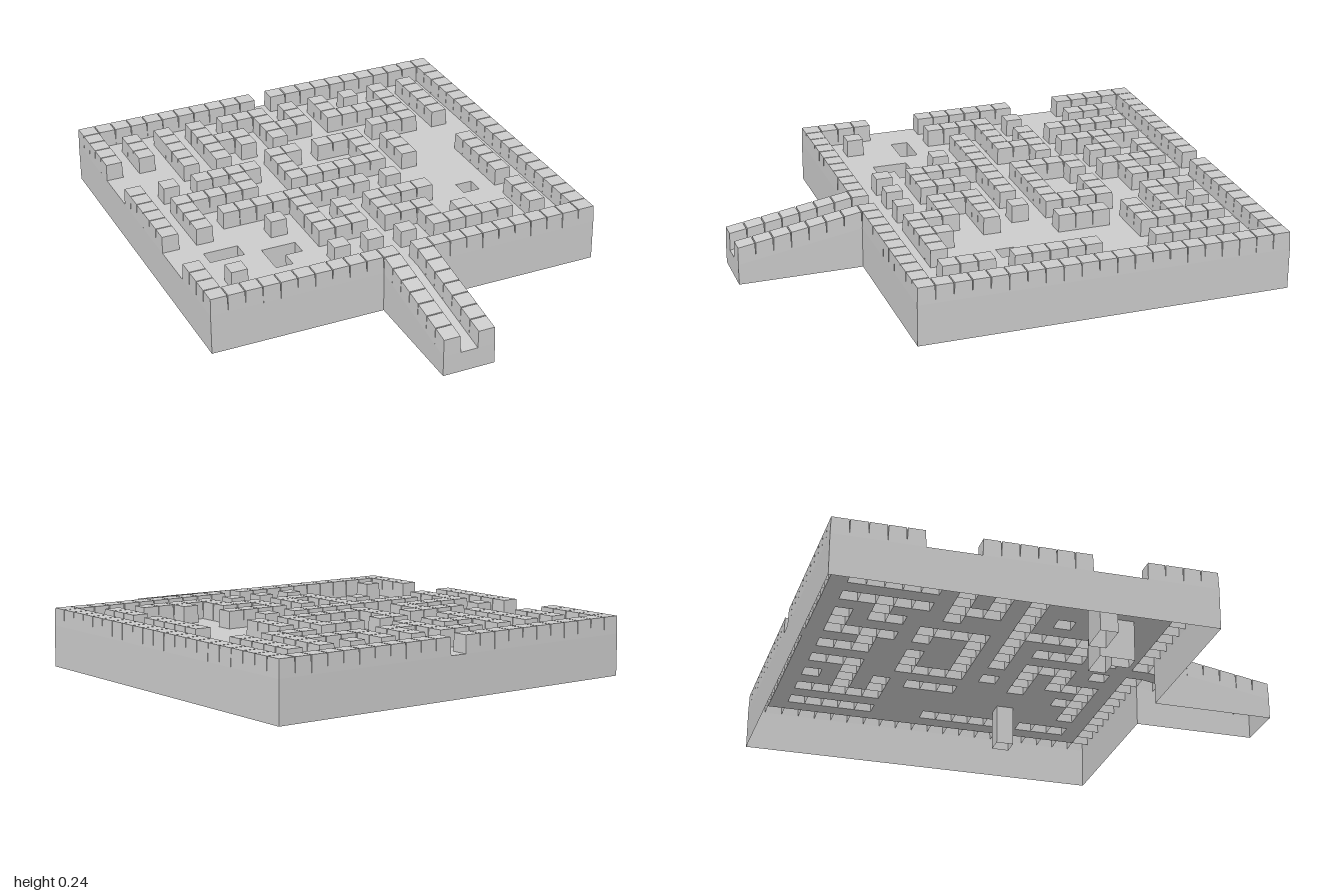
import * as THREE from 'three';

const CELL = 1 / 14, FLOOR = 0.167, WALL = 0.07, GROOVE = 0.0022;
const COLS = 23, MAZE_ROWS = 21, RAMP_ROWS = 7;

// '#' wall block, '.' floor, 'o' open shaft, ' ' outside
const MAZE = [
  '###########.###########',
  '#.....................#',
  '#.#.#.#.###.#.#.#.#.#.#',
  '#.#.#.#...#.#.#...#.#.#',
  '#.#.#.###.###.#####.#.#',
  '....#.#.#.#.......#.#.#',
  '....#.#.........###.#.#',
  '.........##.###.......#',
  '#.#.####.#....#.#.....#',
  '#.....#..#....#.#.....#',
  '#.#####..######.#...#.#',
  '#.#.................#.#',
  '#.#.#########.#.....#.#',
  '#.#.....#...........#.#',
  '......#.#.#.####..o.#.#',
  '..oo....#.#.#.........#',
  '.....oo.###.###.....#.#',
  '#....o........#.#...#.#',
  '#.#.....#.#.#.#####.#.#',
  '#.....................#',
  '###########.###########',
];
for (let i = 0; i < RAMP_ROWS; i++) MAZE.push(' '.repeat(10) + '#.#' + ' '.repeat(10));
MAZE.length = MAZE_ROWS + RAMP_ROWS;

const cellAt = (c, r) => (MAZE[r] && MAZE[r][c]) || ' ';
const isSolid = (c, r) => '#.'.includes(cellAt(c, r));
const xAt = c => (c - COLS / 2) * CELL;
const zAt = r => r * CELL - 1;
// Floor level: flat in the maze, sloping down along the ramp
const floorY = z => FLOOR - Math.max(0, z - 0.5) * 0.165;

// Collects four-cornered faces (counter-clockwise from outside) into one mesh
function faceMesh(name, material, fill) {
  const pos = [];
  fill((a, b, c, d) => pos.push(...a, ...b, ...c, ...a, ...c, ...d));
  const geo = new THREE.BufferGeometry();
  geo.setAttribute('position', new THREE.Float32BufferAttribute(pos, 3));
  geo.computeVertexNormals();
  const mesh = new THREE.Mesh(geo, material);
  mesh.name = name;
  return mesh;
}

// Corners of a cell in order: back-left, front-left, front-right, back-right
function corners(c, r, lift = 0, inset = 0) {
  const x0 = xAt(c) + inset, x1 = xAt(c + 1) - inset;
  const z0 = zAt(r) + inset, z1 = zAt(r + 1) - inset;
  return [[x0, z0], [x0, z1], [x1, z1], [x1, z0]].map(([x, z]) => [x, floorY(z) + lift, z]);
}

// Neighbour across each side, matching corner i to corner i + 1
const SIDES = [[-1, 0], [0, 1], [1, 0], [0, -1]];
const drop = p => [p[0], 0, p[2]];

function eachCell(kinds, visit) {
  MAZE.forEach((row, r) => [...row].forEach((k, c) => kinds.includes(k) && visit(c, r)));
}

export function createModel() {
  const model = new THREE.Group();
  model.name = 'mazeWithRamp';
  const material = new THREE.MeshStandardMaterial({
    color: 0xcccccc, flatShading: true, side: THREE.DoubleSide,
  });

  // Floor tiles, left out under the hollow blocks and above the shafts
  model.add(faceMesh('floor', material, quad => {
    eachCell('.', (c, r) => quad(...corners(c, r)));
  }));

  // Hollow wall blocks, tapered slightly so grooves show between them
  model.add(faceMesh('wallBlocks', material, quad => {
    eachCell('#', (c, r) => {
      const base = corners(c, r), top = corners(c, r, WALL, GROOVE);
      quad(...top);
      for (let i = 0; i < 4; i++) {
        const j = (i + 1) % 4;
        quad(base[i], base[j], top[j], top[i]);
      }
    });
  }));

  // Skirts reaching the ground around the outside and around each shaft
  const addSkirt = (name, beyond) => model.add(faceMesh(name, material, quad => {
    eachCell('#.', (c, r) => {
      const p = corners(c, r);
      SIDES.forEach(([dc, dr], i) => {
        if (isSolid(c + dc, r + dr) || cellAt(c + dc, r + dr) !== beyond) return;
        const j = (i + 1) % 4;
        quad(drop(p[i]), drop(p[j]), p[j], p[i]);
      });
    });
  }));
  addSkirt('outerSkirt', ' ');
  addSkirt('shaftWalls', 'o');

  return model;
}
